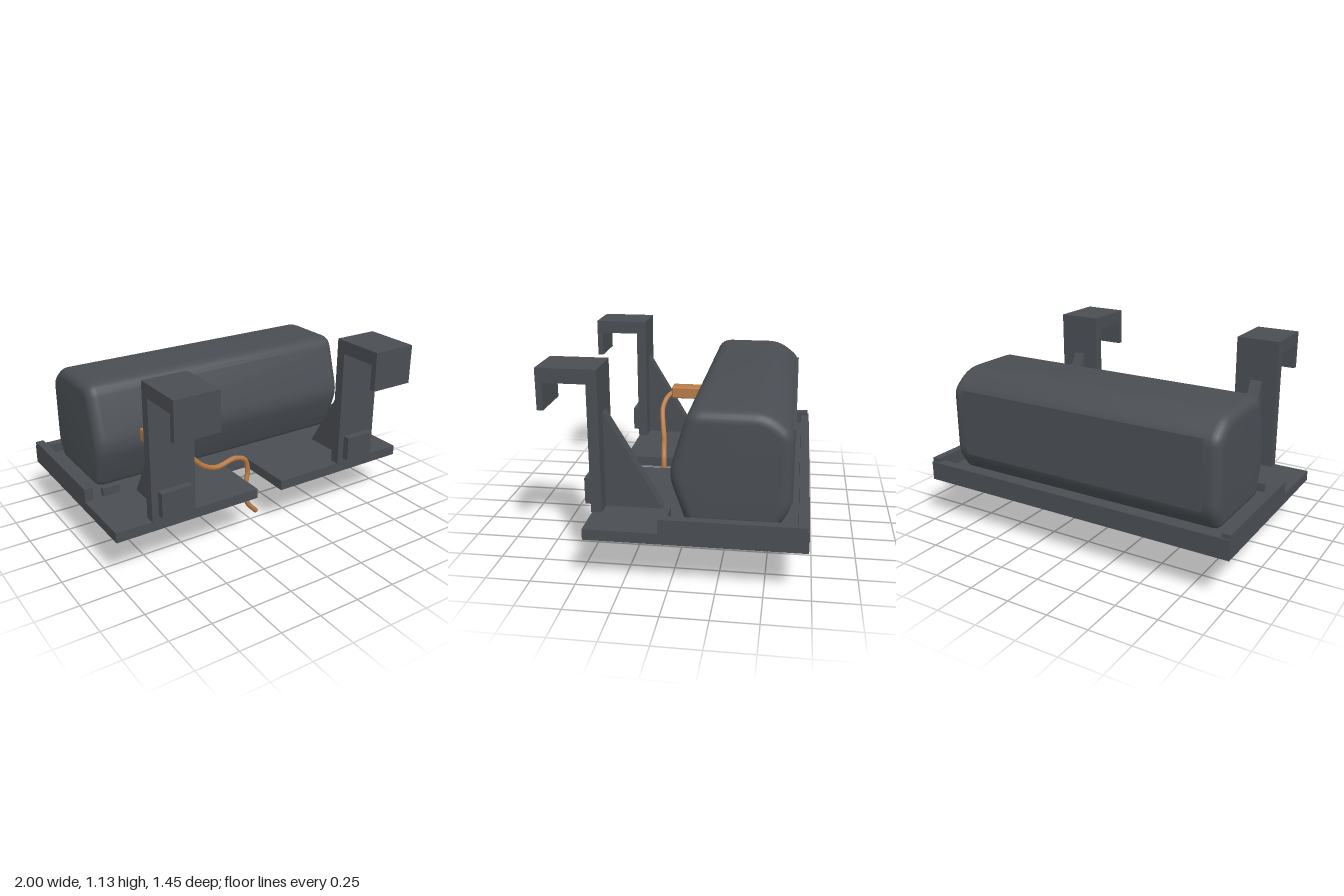
import * as THREE from 'three';
import { toCreasedNormals } from 'three/addons/utils/BufferGeometryUtils.js';
import { RoundedBoxGeometry } from 'three/addons/geometries/RoundedBoxGeometry.js';

const slate = new THREE.MeshStandardMaterial({ color: 0x4a4e53 });
slate.name = 'slate grey';
const copper = new THREE.MeshStandardMaterial({ color: 0xb87b48 });
copper.name = 'copper';

function add(parent, name, geometry, material = slate) {
  const mesh = new THREE.Mesh(geometry, material);
  mesh.name = name;
  parent.add(mesh);
  return mesh;
}

// Box given by its extents on each axis
function box(parent, name, [x0, x1], [y0, y1], [z0, z1]) {
  const g = new THREE.BoxGeometry(x1 - x0, y1 - y0, z1 - z0);
  g.translate((x0 + x1) / 2, (y0 + y1) / 2, (z0 + z1) / 2);
  return add(parent, name, g);
}

const toShape = (points) => new THREE.Shape(points.map(([a, b]) => new THREE.Vector2(a, b)));

// Side profile of [z, y] points, extruded across x from x0 to x1
function sideExtrude(points, x0, x1, bevel = 0) {
  const shape = toShape(points.map(([z, y]) => [-z, y]));
  const g = new THREE.ExtrudeGeometry(shape, {
    depth: x1 - x0 - 2 * bevel,
    bevelEnabled: bevel > 0,
    bevelThickness: bevel,
    bevelSize: bevel,
    bevelOffset: -bevel,
    bevelSegments: 6,
  });
  g.rotateY(Math.PI / 2);
  g.translate(x0 + bevel, 0, 0);
  return g;
}

// Replace each [z, y, radius] corner with a short curve
function roundCorners(corners, steps = 5) {
  const out = [];
  const n = corners.length;
  corners.forEach(([z, y, r], i) => {
    const p = new THREE.Vector2(z, y);
    const towards = ([a, b]) => new THREE.Vector2(a, b).sub(p).setLength(r).add(p);
    const curve = new THREE.QuadraticBezierCurve(
      towards(corners[(i + n - 1) % n]), p, towards(corners[(i + 1) % n]));
    curve.getPoints(steps).forEach((q) => out.push([q.x, q.y]));
  });
  return out;
}

export function createModel() {
  const model = new THREE.Group();
  model.name = 'hangingTray';

  // Base plate with the cable notch
  const plate = toShape([
    [-1, -0.45], [-0.09, -0.45], [-0.09, -0.09], [-0.08, -0.08], [0.075, -0.08],
    [0.085, -0.09], [0.085, -0.45], [1, -0.45], [1, 0.725], [-1, 0.725],
  ]);
  const plateGeometry = new THREE.ExtrudeGeometry(plate, { depth: 0.06, bevelEnabled: false });
  plateGeometry.rotateX(-Math.PI / 2).translate(0, 0.27, 0);
  add(model, 'basePlate', plateGeometry);

  // Raised rims around the tray
  box(model, 'backRim', [-1, 1], [0.33, 0.385], [-0.725, -0.668]);
  for (const s of [-1, 1]) {
    const span = (a, b) => (s > 0 ? [a, b] : [-b, -a]);
    const side = s > 0 ? 'left' : 'right';
    box(model, side + 'Rim', span(0.95, 1), [0.33, 0.41], [-0.715, 0.05]);
    box(model, side + 'Stop', span(0.78, 0.885), [0.33, 0.38], [0.015, 0.045]);

    // Hanging hook with its gusset and front pad
    const hook = new THREE.Group();
    hook.name = side + 'Hook';
    model.add(hook);
    add(hook, 'hookArm', sideExtrude([
      [0.455, 0.33], [0.395, 0.33], [0.395, 1.13], [0.725, 1.13],
      [0.725, 0.9], [0.69, 0.9], [0.69, 1.05], [0.455, 1.05],
    ], ...span(0.515, 0.785)));
    add(hook, 'gusset', sideExtrude([[0.395, 0.33], [0.075, 0.33], [0.395, 0.875]],
      ...span(0.615, 0.69)));
    box(hook, 'frontPad', span(0.555, 0.745), [0.36, 0.51], [0.455, 0.497]);
  }

  // Main body with rounded ends
  const profile = roundCorners([
    [-0.075, 0.33, 0.03], [0.018, 0.6, 0.07], [-0.09, 0.96, 0.07],
    [-0.5, 0.96, 0.08], [-0.63, 0.855, 0.05], [-0.63, 0.44, 0.06], [-0.56, 0.33, 0.03],
  ]);
  add(model, 'body', toCreasedNormals(sideExtrude(profile, -0.885, 0.885, 0.06), 0.6));
  box(model, 'backPanel', [-0.79, 0.79], [0.45, 0.855], [-0.634, -0.62]);

  // Plug and its hanging cable
  const plug = new RoundedBoxGeometry(0.1, 0.08, 0.21, 3, 0.01);
  plug.translate(-0.57, 0.645, 0.115);
  add(model, 'plug', plug, copper);
  const path = new THREE.CatmullRomCurve3([
    [-0.57, 0.642, 0.205], [-0.52, 0.62, 0.245], [-0.44, 0.56, 0.268], [-0.34, 0.465, 0.25],
    [-0.23, 0.415, 0.225], [-0.08, 0.425, 0.2], [0, 0.385, 0.187], [0.02, 0.3, 0.185],
    [-0.01, 0.17, 0.197], [0.015, 0.085, 0.2], [0.078, 0.013, 0.2],
  ].map((p) => new THREE.Vector3(...p)));
  add(model, 'cable', new THREE.TubeGeometry(path, 90, 0.016, 12), copper);
  const cap = add(model, 'cableEnd', new THREE.CircleGeometry(0.016, 12), copper);
  cap.position.copy(path.getPoint(1));
  cap.lookAt(path.getPoint(1).add(path.getTangent(1)));

  return model;
}
